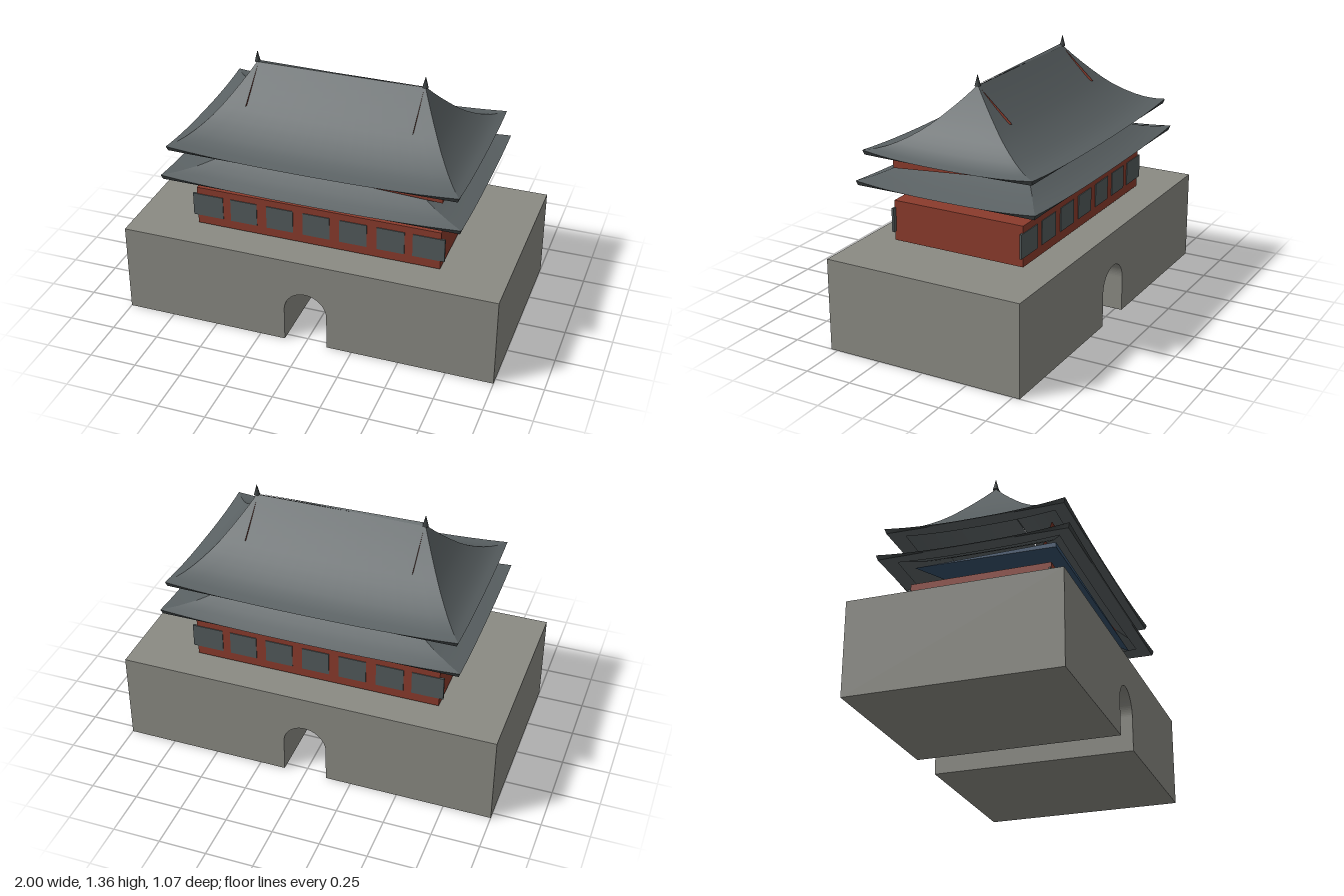
import * as THREE from 'three';

const paint = (color, open = false) => new THREE.MeshStandardMaterial({
  color, side: open ? THREE.DoubleSide : THREE.FrontSide });
const STONE = paint(0x8a8a83), RED = paint(0x8a3b2c, true), BLUE = paint(0x35506b, true);
const TILE = paint(0x5a6163, true), SHUTTER = paint(0x525a5b), DARK = paint(0x3c4142);

function add(parent, name, geometry, material, x = 0, y = 0, z = 0) {
  const mesh = new THREE.Mesh(geometry, material);
  mesh.name = name;
  mesh.position.set(x, y, z);
  parent.add(mesh);
  return mesh;
}

// Four swept slopes through rectangular rings [halfX, halfZ, cornerY, sag at mid-side].
function slopes(rings) {
  const n = 16, pos = [], idx = [];
  const corners = [[-1, 1], [1, 1], [1, -1], [-1, -1]];
  for (let s = 0; s < 4; s++) {
    const a = corners[s], b = corners[(s + 1) % 4], start = pos.length / 3;
    rings.forEach(([hx, hz, y, sag], r) => {
      for (let i = 0; i <= n; i++) {
        const u = i / n, k = Math.abs(2 * u - 1);
        pos.push(hx * (a[0] + (b[0] - a[0]) * u), y - sag * (1 - k ** 2.5),
          hz * (a[1] + (b[1] - a[1]) * u));
        if (r && i) {
          const q = start + r * (n + 1) + i, p = q - n - 1;
          idx.push(p - 1, q - 1, p, p, q - 1, q);
        }
      }
    });
  }
  const g = new THREE.BufferGeometry();
  g.setAttribute('position', new THREE.Float32BufferAttribute(pos, 3));
  g.setIndex(idx);
  g.computeVertexNormals();
  return g;
}

// A roof: concave tiled slopes with a thin turned-up eave below.
function roof(parent, name, rings) {
  const group = new THREE.Group();
  group.name = name;
  parent.add(group);
  add(group, 'tiledSlopes', slopes(rings), TILE);
  const [hx, hz, y, sag] = rings[rings.length - 1];
  add(group, 'eaveEdge', slopes([[hx, hz, y, sag], [hx - 0.008, hz - 0.008, y - 0.024, sag - 0.023]]), DARK)
    .material = paint(0x3c4142, true);
  add(group, 'soffit', slopes([[hx - 0.008, hz - 0.008, y - 0.024, sag - 0.023],
    [hx - 0.09, hz - 0.08, y - 0.008, sag - 0.01]]), TILE);
  return group;
}

// Tapered corner piece: an upright edge that narrows along both adjoining sides.
function cornerWedge(x, z, y0, y1, endX, endZ, endY) {
  const p = [[x, y0, z], [x, y1, z], [endX, endY, z], [x, endY, endZ]];
  const g = new THREE.BufferGeometry();
  const faces = [0, 1, 2, 0, 3, 1, 0, 2, 3, 1, 3, 2];
  g.setAttribute('position', new THREE.Float32BufferAttribute(faces.flatMap(i => p[i]), 3));
  g.computeVertexNormals();
  return g;
}

export function createModel() {
  const model = new THREE.Group();
  model.name = 'gateTower';

  // Stone platform with arched passage
  const outline = new THREE.Shape();
  outline.moveTo(-1, 0);
  outline.lineTo(-0.115, 0);
  outline.lineTo(-0.115, 0.185);
  outline.absarc(0, 0.185, 0.115, Math.PI, 0, true);
  outline.lineTo(0.115, 0);
  outline.lineTo(1, 0);
  outline.lineTo(1, 0.487);
  outline.lineTo(-1, 0.487);
  const base = new THREE.ExtrudeGeometry(outline, { depth: 1.074, bevelEnabled: false, curveSegments: 20 });
  add(model, 'stonePlatform', base, STONE, 0, 0, -0.537);

  // Lower hall with shutters along front and back
  add(model, 'hallWalls', new THREE.BoxGeometry(1.31, 0.212, 0.73), RED, 0, 0.606, 0);
  for (const side of [-1, 1]) {
    for (let i = -3; i <= 3; i++) {
      const w = Math.abs(i) === 3 ? 0.166 : 0.145;
      add(model, 'shutter', new THREE.BoxGeometry(w, 0.126, 0.012), SHUTTER, i * 0.198, 0.612, side * 0.363);
    }
  }

  // Painted beam and upper wall
  add(model, 'paintedBeam', cornerWedge(-0.69, 0.4, 0.77, 0.795, 0.62, -0.33, 0.781), BLUE);
  add(model, 'upperWall', cornerWedge(0.655, 0.365, 0.882, 0.985, -0.64, -0.35, 0.941), RED);

  // Lower skirt roof
  roof(model, 'lowerRoof', [
    [0.43, 0.25, 0.962, 0], [0.48, 0.29, 0.925, 0.002], [0.55, 0.345, 0.89, 0.004],
    [0.63, 0.40, 0.862, 0.008], [0.71, 0.45, 0.843, 0.014], [0.787, 0.5, 0.833, 0.023]]);

  // Upper hipped roof
  const heights = [1.302, 1.25, 1.202, 1.157, 1.115, 1.079, 1.05, 1.025, 1.006, 0.994, 0.989];
  roof(model, 'upperRoof', heights.map((y, i) => {
    const t = i / 10;
    return [0.447 + 0.315 * t, 0.002 + 0.47 * t, y, 0.027 * t * t];
  }));

  // Gable boards, finials and ridge cap
  const gable = new THREE.Shape([new THREE.Vector2(-0.19, 1.13),
    new THREE.Vector2(0.19, 1.13), new THREE.Vector2(0, 1.3)]);
  for (const side of [-1, 1]) {
    add(model, 'gableBoard', new THREE.ShapeGeometry(gable), RED, side * 0.442, 0, 0)
      .rotation.y = Math.PI / 2;
    add(model, 'ridgeFinial', new THREE.ConeGeometry(0.016, 0.06, 8), DARK, side * 0.447, 1.33, 0);
  }
  add(model, 'ridgeCap', cornerWedge(-0.447, 0.008, 1.3, 1.312, 0.44, -0.01, 1.302), TILE);

  return model;
}
